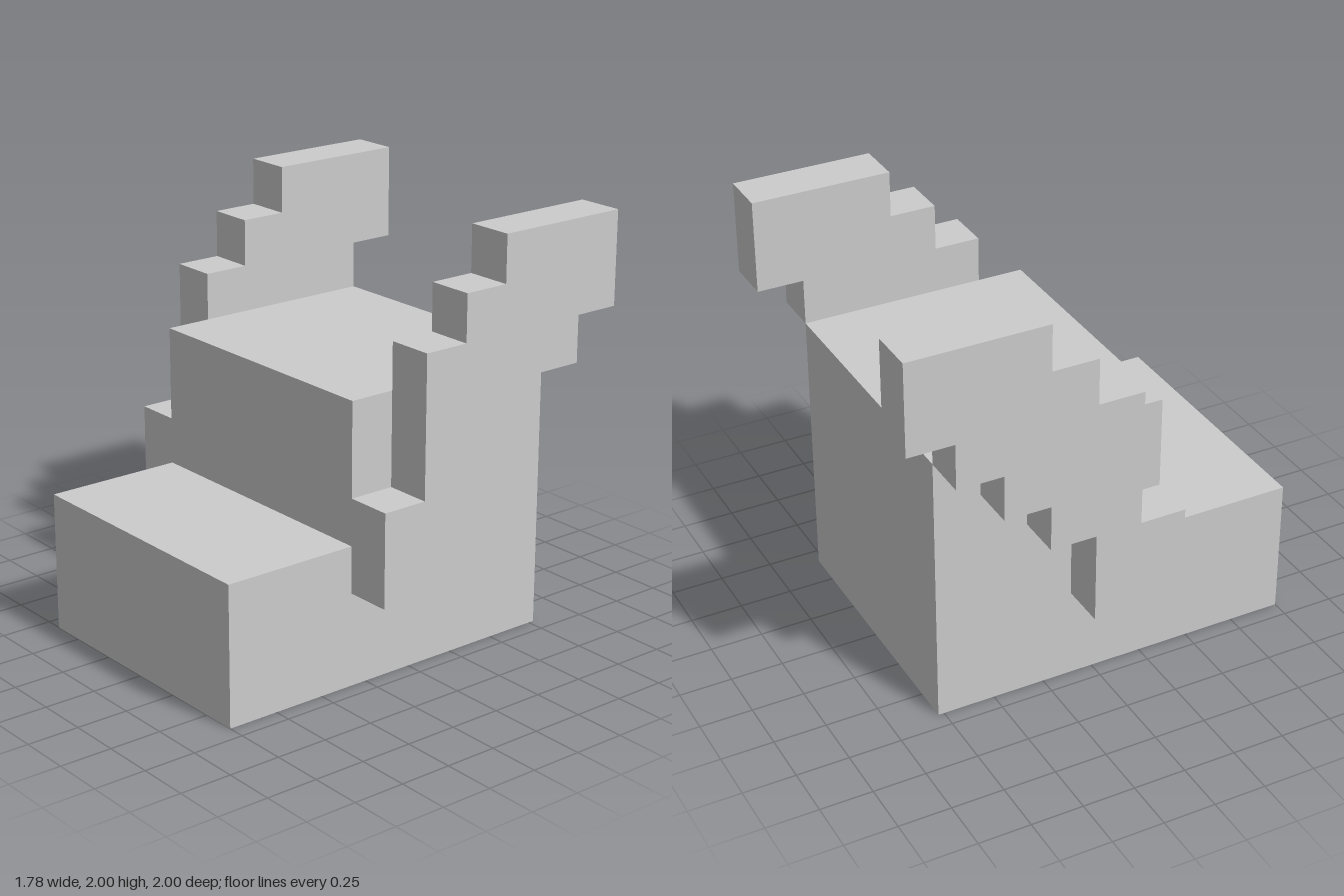
import * as THREE from 'three';

const U = 2 / 9; // block size

// Extrude a side profile of [z, y] block coordinates between two x positions.
function sideSlab(name, profile, xMin, xMax, material) {
  const shape = new THREE.Shape(profile.map(([z, y]) => new THREE.Vector2(z * U, y * U)));
  const geometry = new THREE.ExtrudeGeometry(shape, { depth: (xMax - xMin) * U, bevelEnabled: false });
  geometry.rotateY(-Math.PI / 2).translate(xMax * U, 0, 0);
  const mesh = new THREE.Mesh(geometry, material);
  mesh.name = name;
  return mesh;
}

export function createModel() {
  const group = new THREE.Group();
  group.name = 'hornedHead';
  const material = new THREE.MeshStandardMaterial({ color: 0xcccccc, flatShading: true });

  // Tall head block with the low snout in front
  const head = [[-3.5, 0], [4.5, 0], [4.5, 3], [1.5, 3], [1.5, 6], [-3.5, 6]];
  group.add(sideSlab('headAndSnout', head, -3, 3, material));

  // Stepped horns sweeping up and back along both sides
  const horn = [
    [1.5, 2], [1.5, 4], [0.5, 4], [0.5, 7], [-0.5, 7], [-0.5, 8], [-1.5, 8], [-1.5, 9],
    [-4.5, 9], [-4.5, 7], [-3.5, 7], [-3.5, 6], [-2.5, 6], [-2.5, 5], [-1.5, 5], [-1.5, 4],
    [-0.5, 4], [-0.5, 2],
  ];
  group.add(sideSlab('leftHorn', horn, 3, 4, material));
  group.add(sideSlab('rightHorn', horn, -4, -3, material));

  return group;
}
